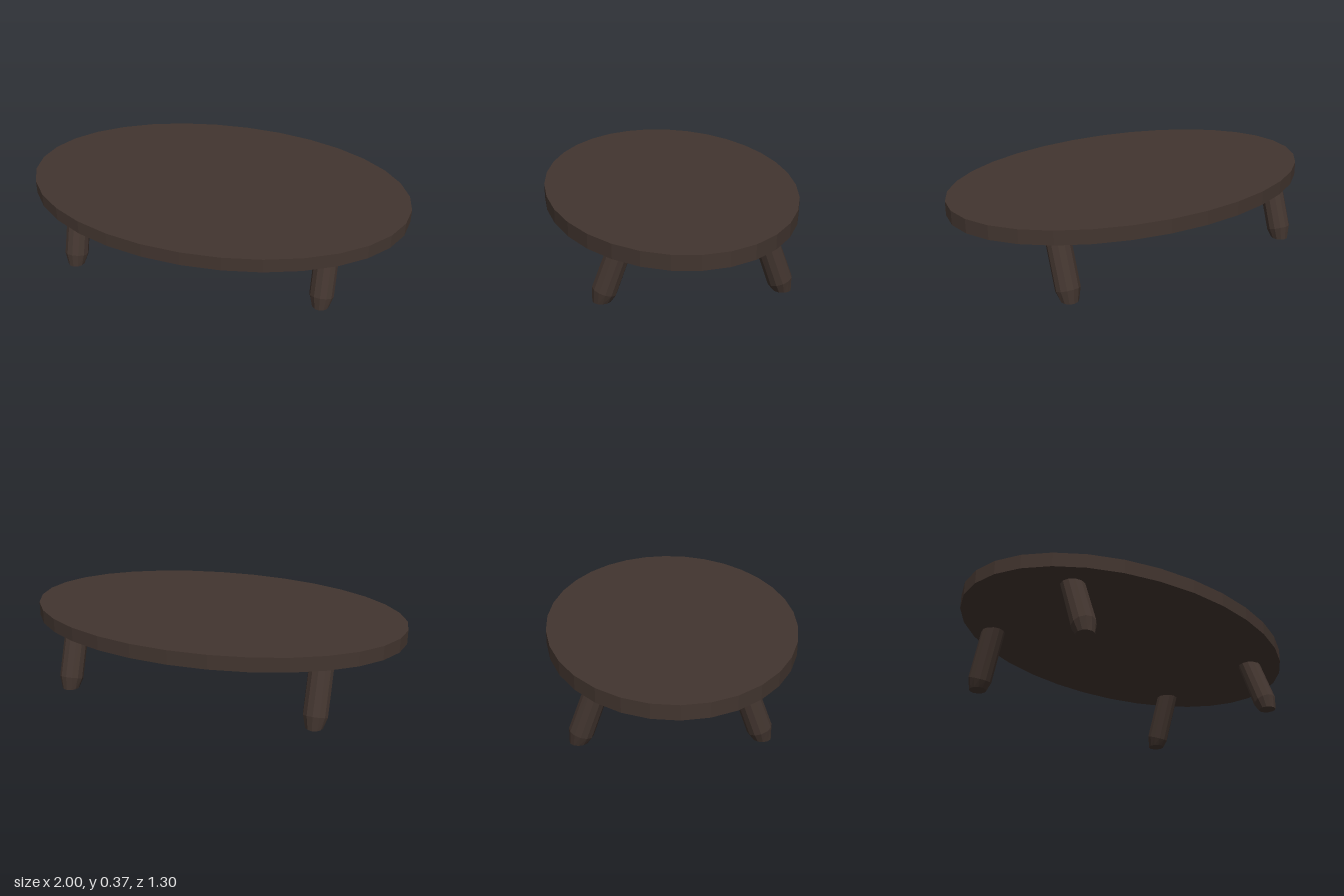
import * as THREE from 'three';

const wood = new THREE.MeshStandardMaterial({ color: 0x42352f, flatShading: true });

// Rings of a leg, foot to top: centre height, centre z, radii across x and z, tilt
const TILT = THREE.MathUtils.degToRad(20);
const RINGS = [
  { y: 0, z: 0, rx: 0.043, rz: 0.045, tilt: 0 },
  { y: 0.052, z: -0.0125, rx: 0.06, rz: 0.06, tilt: TILT },
  { y: 0.33, z: -0.114, rx: 0.06, rz: 0.057, tilt: TILT },
];

// Splayed leg leaning out toward +z, with a tapered foot cut level with the floor
function legGeometry() {
  const geo = new THREE.CylinderGeometry(1, 1, 2, 12, 2);
  const pos = geo.attributes.position;
  for (let i = 0; i < pos.count; i++) {
    const ring = RINGS[Math.round(pos.getY(i)) + 1];
    const across = pos.getZ(i) * ring.rz;
    pos.setXYZ(
      i,
      pos.getX(i) * ring.rx,
      ring.y + across * Math.sin(ring.tilt),
      ring.z + across * Math.cos(ring.tilt)
    );
  }
  geo.computeVertexNormals();
  return geo;
}

export function createModel() {
  const model = new THREE.Group();
  model.name = 'ovalTable';

  // Oval slab top
  const top = new THREE.Mesh(new THREE.CylinderGeometry(1, 1, 0.072, 32), wood);
  top.name = 'tableTop';
  top.scale.z = 0.65;
  top.position.y = 0.331;
  model.add(top);

  // Four legs, the back pair turned to lean backward
  const geo = legGeometry();
  for (const [side, x] of [['Left', 0.635], ['Right', -0.659]]) {
    for (const [end, z] of [['front', 0.4], ['back', -0.456]]) {
      const leg = new THREE.Mesh(geo, wood);
      leg.name = `${end}${side}Leg`;
      leg.position.set(x, 0, z);
      if (z < 0) leg.rotation.y = Math.PI;
      model.add(leg);
    }
  }
  return model;
}
